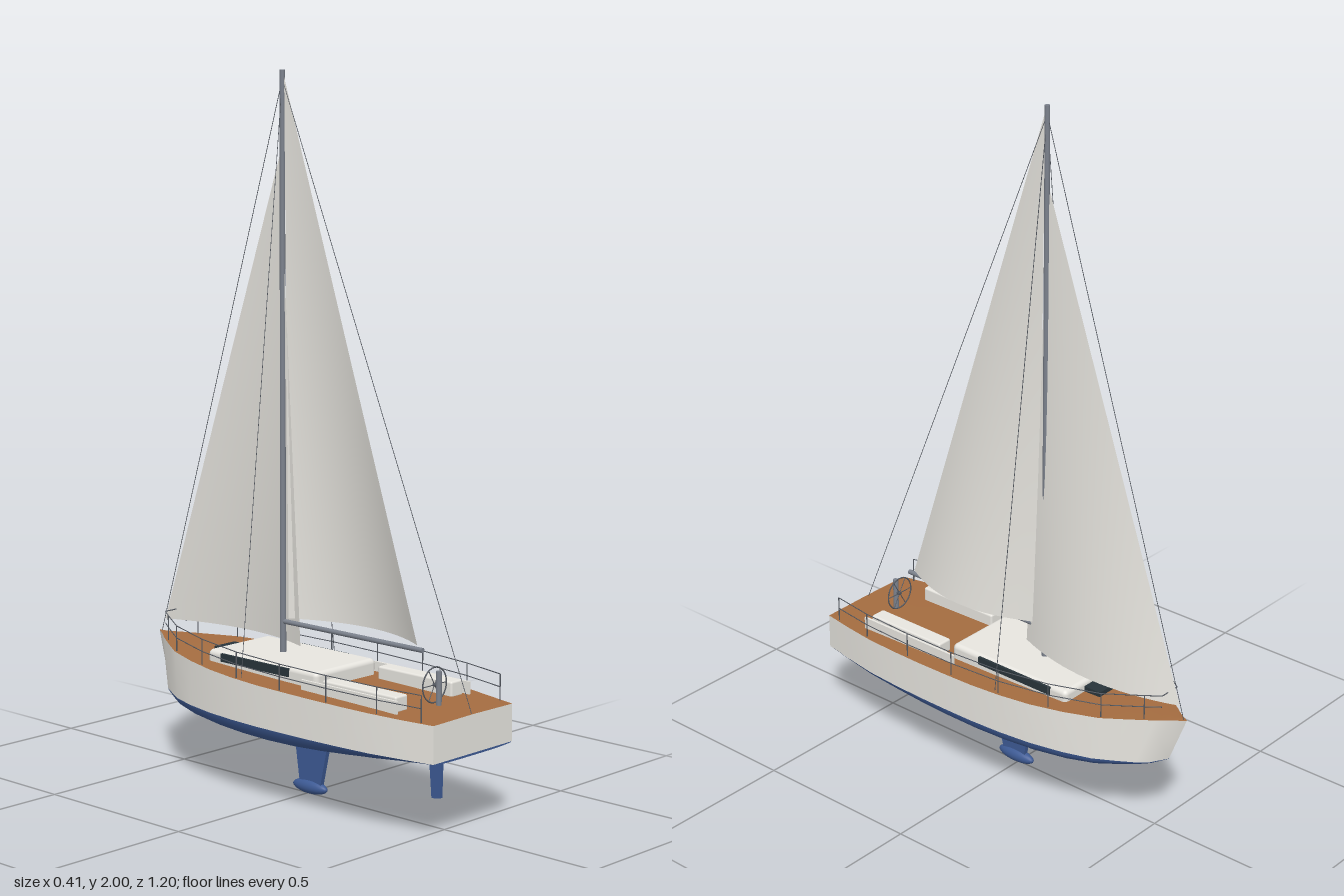
import * as THREE from 'three';
import { RoundedBoxGeometry } from 'three/addons/geometries/RoundedBoxGeometry.js';

const mat = (name, color, side = THREE.FrontSide) => {
  const m = new THREE.MeshStandardMaterial({ color, side });
  m.name = name;
  return m;
};

// Hull stations, stern to bow: z, deck half-width, sheer height, bottom height, waterline half-width
const STATIONS = [
  [0.597, 0.16, 0.333, 0.224, 0.16], [0.5, 0.178, 0.335, 0.212, 0.178],
  [0.4, 0.194, 0.338, 0.199, 0.194], [0.3, 0.201, 0.34, 0.187, 0.201],
  [0.2, 0.205, 0.342, 0.176, 0.205], [0.1, 0.206, 0.344, 0.168, 0.206],
  [0, 0.205, 0.346, 0.165, 0.205], [-0.1, 0.199, 0.349, 0.166, 0.199],
  [-0.2, 0.187, 0.353, 0.17, 0.187], [-0.3, 0.163, 0.357, 0.177, 0.165],
  [-0.4, 0.13, 0.362, 0.188, 0.138], [-0.465, 0.09, 0.365, 0.2, 0.108],
  [-0.53, 0.048, 0.368, 0.213, 0.075], [-0.565, 0.022, 0.37, 0.221, 0.05],
  [-0.6, 0, 0.372, 0.229, 0],
];
const WATER = 0.23;
const lowZ = z => (z < -0.3 ? -0.3 + (z + 0.3) * 0.81 : z);

// Smooth surface from rows of points
function surface(rows) {
  const n = rows[0].length, pos = rows.flat(2), idx = [];
  for (let i = 0; i < rows.length - 1; i++) {
    for (let j = 0; j < n - 1; j++) {
      const a = i * n + j, b = a + n;
      idx.push(a, b, a + 1, b, b + 1, a + 1);
    }
  }
  const g = new THREE.BufferGeometry();
  g.setAttribute('position', new THREE.Float32BufferAttribute(pos, 3));
  g.setIndex(idx);
  g.computeVertexNormals();
  return g;
}

// Underwater section from the -x to the +x waterline
function bilge([z, , , bottom, w]) {
  const pts = [];
  for (let j = 0; j <= 16; j++) {
    const a = Math.PI * j / 16, c = Math.cos(a);
    pts.push([-Math.sign(c) * w * Math.abs(c) ** 0.7, WATER - (WATER - bottom) * Math.sin(a), lowZ(z)]);
  }
  return pts;
}

// Deck edge position at any z
function edge(z) {
  let i = 0;
  while (i < STATIONS.length - 2 && STATIONS[i + 1][0] > z) i++;
  const a = STATIONS[i], b = STATIONS[i + 1], t = (z - a[0]) / (b[0] - a[0]);
  return { w: a[1] + (b[1] - a[1]) * t, y: a[2] + (b[2] - a[2]) * t };
}

export function createModel() {
  const model = new THREE.Group();
  model.name = 'sailingYacht';
  const white = mat('hullWhite', 0xe8e6e0);
  const navy = mat('bottomBlue', 0x3d5a94);
  const teak = mat('teakDeck', 0xa46c40);
  const canvas = mat('sailCanvas', 0xe6e4de, THREE.DoubleSide);
  const alloy = mat('sparGrey', 0x7b818c);
  const dark = mat('darkGlass', 0x28343a);
  const wire = mat('rigWire', 0x555a62);

  const add = (name, geo, material, x = 0, y = 0, z = 0, parent = model) => {
    const m = new THREE.Mesh(geo, material);
    m.name = name;
    m.position.set(x, y, z);
    parent.add(m);
    return m;
  };
  const group = name => {
    const g = new THREE.Group();
    g.name = name;
    model.add(g);
    return g;
  };
  const rod = (name, a, b, r, material, parent = model, sides = 6) => {
    const p = new THREE.Vector3(...a), d = new THREE.Vector3(...b).sub(p), len = d.length();
    const m = add(name, new THREE.CylinderGeometry(r, r, len, sides), material, 0, 0, 0, parent);
    m.position.copy(p).addScaledVector(d, 0.5);
    m.quaternion.setFromUnitVectors(new THREE.Vector3(0, 1, 0), d.normalize());
    return m;
  };

  // Hull: topsides, bottom, deck and transom
  for (const s of [1, -1]) {
    add(s > 0 ? 'leftTopside' : 'rightTopside', surface(STATIONS.map(([z, w, y, , wl]) => {
      const row = [0, 0.5, 1].map(t => [s * (wl + (w - wl) * t), WATER + (y - WATER) * t, lowZ(z) + (z - lowZ(z)) * t]);
      return s > 0 ? row : row.reverse();
    })), white);
  }
  add('hullBottom', surface(STATIONS.map(bilge)), navy);
  add('deck', surface(STATIONS.map(([z, w, y]) => [[w, y, z], [0, y + 0.002, z], [-w, y, z]])), teak);
  const [sz, sw, sy] = STATIONS[0];
  const stern = pts => new THREE.ShapeGeometry(new THREE.Shape(pts.map(p => new THREE.Vector2(p[0], p[1]))));
  add('transom', stern([[-sw, WATER], [sw, WATER], [sw, sy], [0, sy + 0.002], [-sw, sy]]), white, 0, 0, sz);
  add('transomBottom', stern(bilge(STATIONS[0])), navy, 0, 0, sz);

  // Keel, bulb and rudder
  const fin = (name, pts, thick) => {
    const g = new THREE.ExtrudeGeometry(new THREE.Shape(pts.map(([z, y]) => new THREE.Vector2(-z, y))),
      { depth: thick, bevelEnabled: false });
    g.translate(0, 0, -thick / 2);
    g.rotateY(Math.PI / 2);
    add(name, g, navy);
  };
  fin('keelFin', [[0.088, 0.19], [0.05, 0.02], [-0.025, 0.02], [-0.05, 0.19]], 0.014);
  fin('rudder', [[0.492, 0.22], [0.488, 0.085], [0.458, 0.08], [0.446, 0.22]], 0.01);
  add('keelBulb', new THREE.SphereGeometry(0.02, 20, 12), navy, 0, 0.021, 0.008).scale.set(0.95, 1, 3.2);

  // Cabin, windows and fore hatch
  add('cabin', new RoundedBoxGeometry(0.242, 0.07, 0.42, 4, 0.014), white, 0, 0.354, -0.065);
  for (const s of [1, -1]) {
    const side = s > 0 ? 'left' : 'right';
    add(side + 'CabinWindow', new THREE.BoxGeometry(0.008, 0.023, 0.262), dark, s * 0.121, 0.373, -0.088);
    add(side + 'Bench', new RoundedBoxGeometry(0.048, 0.045, 0.266, 2, 0.006), white, s * 0.112, 0.356, 0.313);
    add(side + 'Coaming', new THREE.BoxGeometry(0.007, 0.04, 0.345), white, s * 0.147, 0.352, 0.288);
  }
  add('foreHatch', new THREE.BoxGeometry(0.08, 0.02, 0.06), dark, 0, 0.364, -0.3);

  // Steering wheel and pedestal
  const helm = group('helm');
  rod('pedestal', [0, 0.33, 0.477], [0, 0.43, 0.477], 0.008, alloy, helm, 12);
  add('wheelRim', new THREE.TorusGeometry(0.048, 0.002, 6, 32), wire, 0, 0.39, 0.462, helm);
  rod('wheelHub', [0, 0.39, 0.458], [0, 0.39, 0.477], 0.005, wire, helm, 10);
  for (let i = 0; i < 3; i++) {
    const c = 0.048 * Math.cos(i * Math.PI / 3), s = 0.048 * Math.sin(i * Math.PI / 3);
    rod('wheelSpoke', [-c, 0.39 - s, 0.462], [c, 0.39 + s, 0.462], 0.0013, wire, helm);
  }

  // Mast, boom and stays
  const mastZ = -0.097, head = [0, 1.975, mastZ];
  add('mast', new THREE.CylinderGeometry(0.007, 0.009, 1.66, 16), alloy, 0, 1.17, mastZ);
  rod('boom', [0, 0.476, mastZ], [0, 0.476, 0.42], 0.007, alloy, model, 12);
  rod('backstay', head, [0, 0.335, 0.59], 0.001, wire);
  rod('forestay', head, [0, 0.37, -0.59], 0.001, wire);
  for (const s of [1, -1]) rod('shroud', head, [s * 0.188, 0.35, -0.075], 0.001, wire);

  // Sails: triangles whose belly fades toward the head
  const sail = (name, tack, clew, top, belly) => {
    const rows = [];
    for (let i = 0; i <= 24; i++) {
      const v = i / 24, row = [];
      for (let j = 0; j <= 16; j++) {
        const u = j / 16, k = 1 - v;
        const foot = [0, 1].map(n => tack[n] + (clew[n] - tack[n]) * u);
        row.push([belly * 4 * u * (1 - u) * k ** 2.3, foot[1] * k + top[1] * v, foot[0] * k + top[0] * v]);
      }
      rows.push(row);
    }
    add(name, surface(rows), canvas);
  };
  sail('mainsail', [-0.075, 0.487], [0.4, 0.487], [-0.09, 1.98], 0.068);
  sail('jib', [-0.575, 0.41], [-0.03, 0.415], [-0.107, 1.77], 0.055);

  // Guard rails with stanchions, joined around the bow
  const rails = group('guardRails');
  const zs = [0.555, 0.42, 0.25, 0.08, -0.09, -0.25, -0.4, -0.5, -0.54];
  const at = (s, z, h) => {
    const e = edge(z);
    return [s * Math.max(e.w - 0.008, 0.03), e.y + h, z];
  };
  for (const s of [1, -1]) {
    zs.forEach((z, i) => {
      if (i < 8) rod('stanchion', at(s, z, 0), at(s, z, 0.073), 0.0018, wire, rails);
      if (i > 0) {
        for (const h of [0.038, 0.073]) rod('rail', at(s, zs[i - 1], h), at(s, z, h), 0.0014, wire, rails);
      }
    });
  }
  rod('bowRail', at(1, -0.54, 0.073), at(-1, -0.54, 0.073), 0.0016, wire, rails);
  return model;
}
